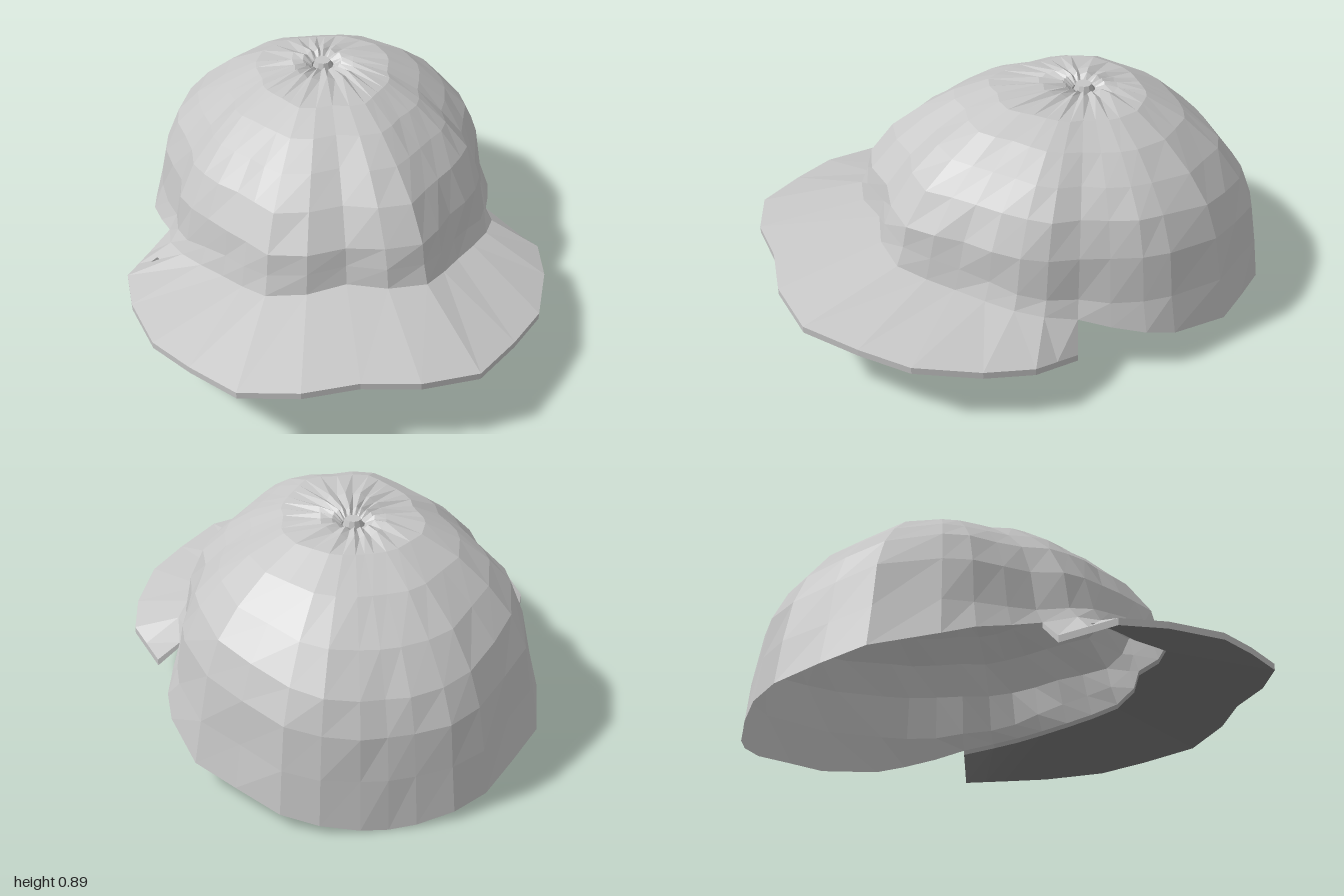
import * as THREE from 'three';

const APEX_Z = -0.28;

// Half outlines on the +x side, front to back: [x, y, z]
const frontRim = [
  [0, 0.42, 0.555], [0.15, 0.41, 0.585], [0.3, 0.395, 0.56], [0.38, 0.37, 0.47], [0.45, 0.35, 0.38],
  [0.53, 0.335, 0.29], [0.6, 0.32, 0.2], [0.645, 0.3, 0.1], [0.65, 0.26, -0.03],
];
const backRim = [
  [0.685, 0.22, -0.15], [0.715, 0.185, -0.28], [0.71, 0.15, -0.4], [0.64, 0.11, -0.64], [0.51, 0.085, -0.78],
  [0.37, 0.055, -0.92], [0.24, 0.035, -0.98], [0.1, 0.012, -1], [0, 0.003, -1],
];
const brimEdge = [
  [0, 0.333, 0.975], [0.21, 0.328, 0.995], [0.43, 0.305, 0.945], [0.59, 0.282, 0.78], [0.72, 0.262, 0.62],
  [0.8, 0.24, 0.38], [0.82, 0.222, 0.19], [0.78, 0.197, 0.095], [0.74, 0.172, 0],
];

// Dome profiles above the rim: [fraction of the rim radius, height]
const profiles = {
  front: [[0.975, 0.49], [0.95, 0.56], [0.84, 0.68], [0.71, 0.77], [0.57, 0.84], [0.42, 0.885], [0.2, 0.895], [0.09, 0.88], [0.05, 0.845]],
  side: [[0.945, 0.3], [0.9, 0.48], [0.82, 0.61], [0.7, 0.7], [0.55, 0.785], [0.37, 0.85], [0.17, 0.877], [0.11, 0.875], [0.06, 0.845]],
  back: [[0.972, 0.2], [0.94, 0.36], [0.87, 0.48], [0.73, 0.62], [0.53, 0.75], [0.32, 0.835], [0.18, 0.86], [0.11, 0.87], [0.06, 0.845]],
};

const flip = ([x, y, z]) => [-x, y, z];

// Surface through columns of points; each column is a cross-section
function loft(columns, closed = false) {
  const rows = columns[0].length, n = columns.length, index = [];
  for (let u = 0; u < (closed ? n : n - 1); u++) {
    for (let v = 0; v < rows - 1; v++) {
      const a = u * rows + v, b = ((u + 1) % n) * rows + v;
      index.push(a, b, b + 1, a, b + 1, a + 1);
    }
  }
  const g = new THREE.BufferGeometry();
  g.setAttribute('position', new THREE.Float32BufferAttribute(columns.flat(2), 3));
  g.setIndex(index);
  const flat = g.toNonIndexed();
  flat.computeVertexNormals();
  return flat;
}

// One crown column, rising from a rim point to the pinched top
function crownColumn([x, y, z], i) {
  const dz = z - APEX_Z, c = dz / Math.hypot(x, dz), w = c * c;
  const end = c > 0 ? profiles.front : profiles.back;
  const column = [[x, y, z]];
  profiles.side.forEach(([sf, sy], k) => {
    const f = THREE.MathUtils.lerp(sf, end[k][0], w);
    // Gathered cloth: alternate columns dip near the top
    const pucker = (k === 6 || k === 7) && i % 2 ? 0.012 : 0;
    const ripple = k < 5 ? 1 + 0.006 * Math.sin(i * 2.3 + k * 1.9) : 1;
    column.push([x * f * ripple, THREE.MathUtils.lerp(sy, end[k][1], w) - pucker, APEX_Z + dz * f * ripple]);
  });
  return column;
}

function makeMaterial(name, color) {
  const material = new THREE.MeshStandardMaterial({ color, side: THREE.DoubleSide, flatShading: true });
  material.name = name;
  return material;
}

export function createModel() {
  const cap = new THREE.Group();
  cap.name = 'cap';
  const cloth = makeMaterial('light grey cloth', 0xc6c6c6);
  const lining = makeMaterial('dark grey lining', 0x7c7c7c);
  const add = (name, geometry, material) => {
    const mesh = new THREE.Mesh(geometry, material);
    mesh.name = name;
    cap.add(mesh);
    return mesh;
  };

  // Crown: open dome around the whole rim
  const half = [...frontRim, ...backRim];
  const rim = [...half, ...half.slice(1, -1).reverse().map(flip)];
  add('crown', loft(rim.map(crownColumn), true), cloth);

  // Brim: thin curved plate; each section runs inner low, outer low, outer top, inner top
  const lower = ([x, y, z], d) => [x, y - d, z];
  const side = frontRim.map((p, i) => [lower(p, 0.02), lower(brimEdge[i], 0.027), brimEdge[i], p]);
  const sections = [...side.slice(1).reverse().map((s) => s.map(flip)), ...side];
  add('brimTop', loft(sections.map((s) => s.slice(1))), cloth);
  add('brimUnderside', loft(sections.map((s) => s.slice(0, 2))), lining);

  // Brim ends
  const [innerLow, outerLow, outerTop, innerTop] = side.at(-1);
  const leftEnd = [[outerLow, outerTop], [innerLow, innerTop]];
  add('leftBrimEnd', loft(leftEnd), cloth);
  add('rightBrimEnd', loft([...leftEnd].reverse().map((s) => s.map(flip))), cloth);

  // Small button on top
  add('topButton', new THREE.CylinderGeometry(0.03, 0.04, 0.03, 10), cloth).position.set(0, 0.852, APEX_Z);

  return cap;
}
